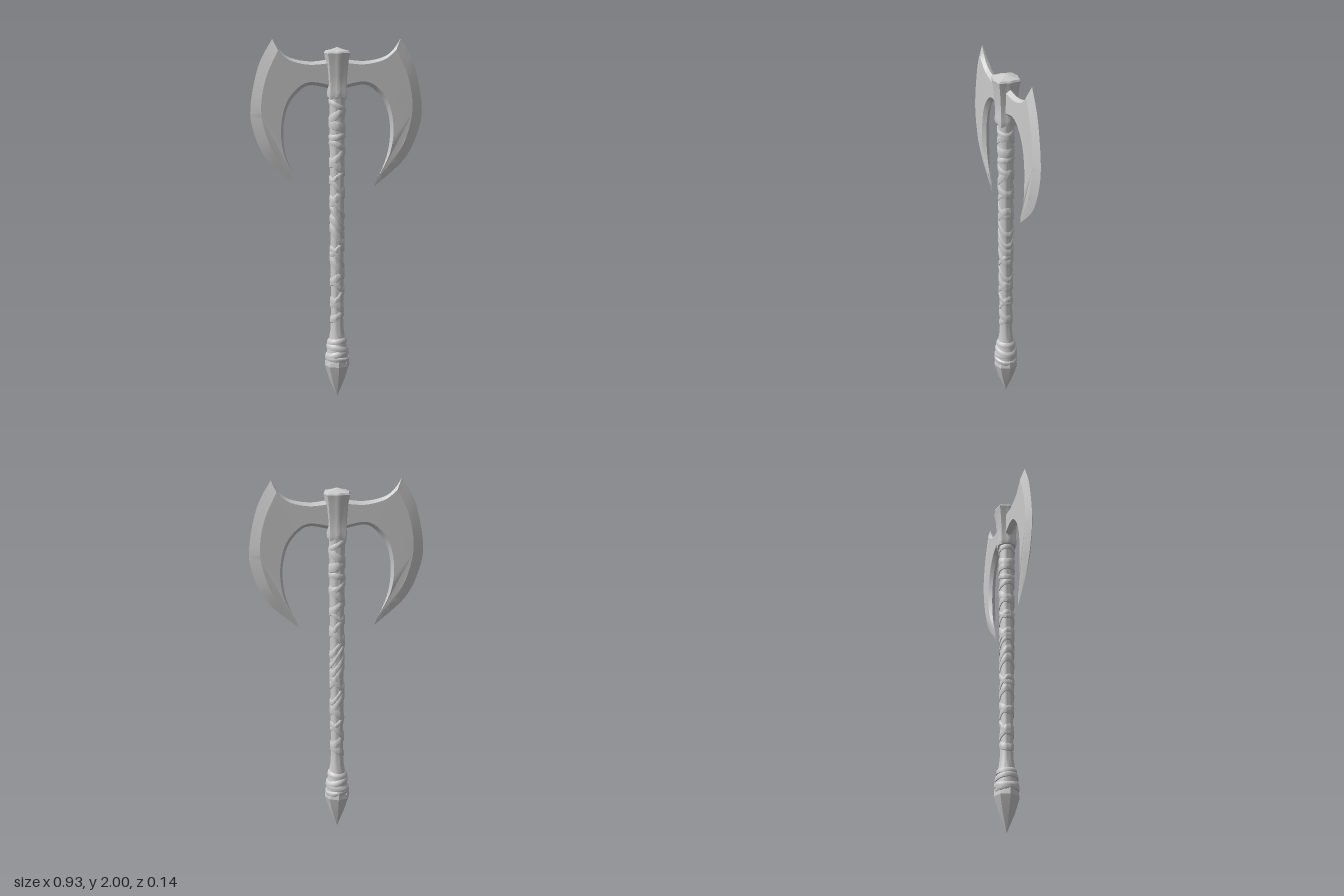
import * as THREE from 'three';
import { toCreasedNormals } from 'three/addons/utils/BufferGeometryUtils.js';

const material = new THREE.MeshStandardMaterial({ color: 0xcccccc });

function part(name, geometry, crease) {
  const mesh = new THREE.Mesh(toCreasedNormals(geometry, crease), material);
  mesh.name = name;
  return mesh;
}

function indexed(positions, index) {
  const g = new THREE.BufferGeometry();
  g.setAttribute('position', new THREE.Float32BufferAttribute(positions, 3));
  g.setIndex(index);
  return g;
}

// Surface through rings around the y axis, listed bottom to top; at(row, angle) gives [radius, y]
function loft(rows, sides, at) {
  const pos = [], idx = [];
  for (let i = 0; i < rows; i++) {
    for (let j = 0; j < sides; j++) {
      const a = (j / sides) * Math.PI * 2;
      const [r, y] = at(i, a);
      pos.push(r * Math.sin(a), y, r * Math.cos(a));
      if (i < rows - 1) {
        const p = i * sides + j, q = i * sides + (j + 1) % sides;
        idx.push(p, q, q + sides, p, q + sides, p + sides);
      }
    }
  }
  return indexed(pos, idx);
}

// Shaft profile: [radius, y]
const SHAFT = [[0.055, 0.18], [0.06, 0.24], [0.054, 0.3], [0.045, 0.345], [0.037, 0.4],
  [0.034, 0.46], [0.036, 0.8], [0.038, 1.2], [0.041, 1.55], [0.042, 1.75]];

function shaftRadius(y) {
  for (let i = 1; i < SHAFT.length; i++) {
    const [r0, y0] = SHAFT[i - 1], [r1, y1] = SHAFT[i];
    if (y <= y1) return THREE.MathUtils.lerp(r0, r1, Math.max(0, (y - y0) / (y1 - y0)));
  }
  return 0.042;
}

// A leather band wound around the shaft, tilted sideways and a little forwards
function strap(y, tilt, lean, width, height) {
  const section = [[-0.5, -0.002], [-0.46, 0.7], [-0.15, 1], [0.25, 0.85], [0.5, -0.002]];
  return loft(section.length, 28, (i, a) => {
    const [v, h] = section[i];
    const yy = y + v * width + tilt * Math.sin(a) + lean * Math.cos(a);
    return [shaftRadius(yy) + h * height, yy];
  });
}

function handle() {
  const group = new THREE.Group();
  group.name = 'handle';
  const profile = SHAFT.map(([r, y]) => new THREE.Vector2(r, y));
  group.add(part('shaft', new THREE.LatheGeometry(profile, 28), 0.6));

  // Long wrapping: steep bands in one direction, now and then crossed by another
  const tilts = [0.02, -0.03, 0.045, -0.035, 0.03, -0.045, -0.05, 0.04, -0.055, -0.05,
    -0.06, -0.05, 0.035, -0.045, 0.03, -0.03, 0.035, -0.02, 0.008, -0.012, 0.025, -0.02];
  tilts.forEach((tilt, i) => {
    const y = 0.48 + (i / (tilts.length - 1)) * 1.17;
    const lean = 0.008 * Math.sin(i * 2.3);
    group.add(part('gripStrap', strap(y, tilt, lean, 0.042 + 0.012 * Math.sin(i * 1.7), 0.0055), 0.7));
  });

  // Wrapping over the swelling above the pommel
  [[0.335, 0.004, 0.03], [0.295, -0.015, 0.035], [0.262, 0.014, 0.035], [0.232, -0.008, 0.03]]
    .forEach(([y, tilt, w]) => group.add(part('pommelStrap', strap(y, tilt, 0.004, w, 0.008), 0.7)));
  return group;
}

// Faceted spike with a jagged upper rim
function pommel() {
  const rows = [[0, 0.005], [0.044, 0.11], [0.07, 0.195], [0.066, 0.215], [0.05, 0.22]];
  return part('pommelSpike', loft(rows.length, 8, (i, a) => {
    const peak = Math.cos(a * 4) > 0;
    const [r, y] = rows[i];
    return [r, y + (i > 2 && peak ? 0.022 : 0)];
  }), 0.3);
}

// Flared socket with four corner ribs and a low pointed cap
function socket() {
  const rows = [[0.5, 1.685], [0.74, 1.69], [0.78, 1.715], [0.72, 1.735], [0.78, 1.8],
    [0.88, 1.88], [1, 1.925], [0.93, 1.935], [0.5, 1.942], [0, 1.955]];
  return part('socket', loft(rows.length, 32, (i, a) => {
    const fold = Math.abs(Math.sin(2 * a));
    const rib = Math.pow(fold, 8);
    const [s, y] = rows[i];
    const r = 0.071 - 0.005 * fold + 0.017 * rib;
    const claw = i === 1 || i === 2 ? -0.012 * rib : 0;
    return [r * s, y + claw];
  }), 0.55);
}

// Sampled curve through a few points, without its last point
function trace(points, n) {
  const curve = new THREE.SplineCurve(points.map(([x, y]) => new THREE.Vector2(x, y)));
  return curve.getPoints(n).slice(0, -1);
}

// Crescent blade: a sharp rim at z = 0 rising to a raised face on each side
function bladeGeometry() {
  const rim = [
    ...trace([[0.02, 1.895], [0.14, 1.88], [0.25, 1.9], [0.305, 1.94], [0.345, 2]], 16),
    ...trace([[0.345, 2], [0.42, 1.86], [0.465, 1.645], [0.447, 1.5], [0.37, 1.345], [0.205, 1.2]], 32),
    ...trace([[0.205, 1.2], [0.275, 1.37], [0.291, 1.52], [0.265, 1.645], [0.205, 1.725], [0.14, 1.755], [0.02, 1.73]], 32)
  ];
  const ridge = [
    ...trace([[0.02, 1.875], [0.14, 1.863], [0.24, 1.882], [0.29, 1.912], [0.318, 1.94]], 16),
    ...trace([[0.318, 1.94], [0.382, 1.8], [0.41, 1.645], [0.39, 1.51], [0.33, 1.37], [0.225, 1.25]], 32),
    ...trace([[0.225, 1.25], [0.288, 1.38], [0.306, 1.52], [0.28, 1.655], [0.215, 1.742], [0.14, 1.773], [0.02, 1.75]], 32)
  ];
  const n = rim.length;
  const triangles = THREE.ShapeUtils.triangulateShape(ridge, []).map((t) => t.map((k) => k + n));
  for (let i = 0; i < n; i++) {
    const j = (i + 1) % n;
    triangles.push([i, j, j + n], [i, j + n, i + n]);
  }
  const flat = [...rim, ...ridge];
  const pos = [], idx = [];
  for (const side of [1, -1]) {
    const base = pos.length / 3;
    flat.forEach((p, i) => {
      const thick = i < n ? 0 : Math.min(0.02, 0.005 + Math.max(0, p.y - 1.25) * 0.08);
      pos.push(p.x, p.y, side * thick);
    });
    // Every triangle on a side faces that side
    for (const [a, b, c] of triangles) {
      const area = (flat[b].x - flat[a].x) * (flat[c].y - flat[a].y)
        - (flat[b].y - flat[a].y) * (flat[c].x - flat[a].x);
      if (area * side > 0) idx.push(base + a, base + b, base + c);
      else idx.push(base + a, base + c, base + b);
    }
  }
  return indexed(pos, idx);
}

export function createModel() {
  const model = new THREE.Group();
  model.name = 'doubleAxe';
  model.add(handle(), pommel(), socket());

  const leftBlade = part('leftBlade', bladeGeometry(), 0.3);
  const rightBlade = leftBlade.clone();
  rightBlade.name = 'rightBlade';
  rightBlade.rotation.y = Math.PI;
  model.add(leftBlade, rightBlade);
  return model;
}
